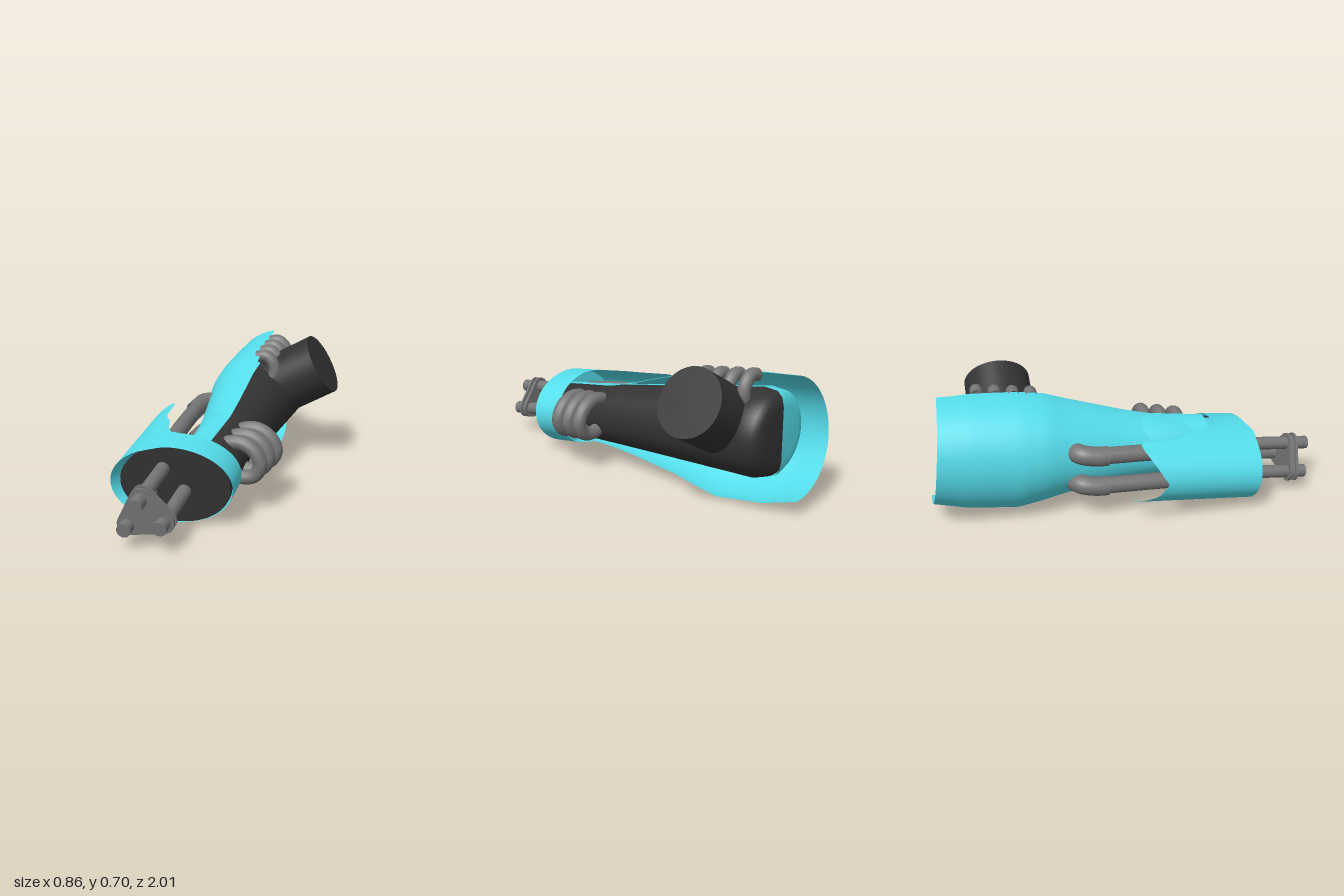
import * as THREE from 'three';

const mat = (color) => new THREE.MeshStandardMaterial({ color, side: THREE.DoubleSide });
const V = (x, y, z) => new THREE.Vector3(x, y, z);
const rad = THREE.MathUtils.degToRad;

// Linear interpolation in a list of rows keyed by their first value
function sample(rows, t) {
  let i = 0;
  while (i < rows.length - 2 && t > rows[i + 1][0]) i++;
  const a = rows[i], b = rows[i + 1];
  const k = THREE.MathUtils.clamp((t - a[0]) / (b[0] - a[0]), 0, 1);
  return a.map((v, j) => v + (b[j] - v) * k);
}

// Grid surface from a point function of (u, v), each 0..1
function surface(fn, nu, nv) {
  const pos = [], idx = [];
  for (let j = 0; j <= nv; j++)
    for (let i = 0; i <= nu; i++) pos.push(...fn(i / nu, j / nv));
  for (let j = 0; j < nv; j++)
    for (let i = 0; i < nu; i++) {
      const a = j * (nu + 1) + i, b = a + nu + 1;
      idx.push(a, a + 1, b, b, a + 1, b + 1);
    }
  const g = new THREE.BufferGeometry();
  g.setAttribute('position', new THREE.Float32BufferAttribute(pos, 3));
  g.setIndex(idx);
  g.computeVertexNormals();
  return g;
}

const tube = (pts, r) =>
  new THREE.TubeGeometry(new THREE.CatmullRomCurve3(pts.map((p) => V(...p))), 40, r, 14);

// Tapered forearm body along z, its axis drifting down towards the wrist
function forearm(grow, phiStart, phiLength) {
  const profile = [[0, -0.87], [0.13, -0.87], [0.175, -0.86], [0.205, -0.835], [0.22, -0.77], [0.187, -0.3], [0.162, 0.07], [0.135, 0.5], [0, 0.5]];
  const g = new THREE.LatheGeometry(
    profile.map(([r, z]) => new THREE.Vector2(r ? r + grow : 0, z < -0.8 ? z - grow : z)), 48, phiStart, phiLength);
  g.rotateX(Math.PI / 2);
  const p = g.attributes.position;
  for (let i = 0; i < p.count; i++) {
    const k = (p.getZ(i) + 0.8) / 1.25;
    p.setXY(i, p.getX(i) - 0.01 + 0.03 * k, p.getY(i) + 0.36 - 0.125 * k);
  }
  return g;
}

// Rounded triangle around three corners given counter-clockwise
function roundedTriangle(c, r) {
  const s = new THREE.Shape();
  const out = (a, b) => Math.atan2(b[1] - a[1], b[0] - a[0]) - Math.PI / 2;
  c.forEach((p, i) => s.absarc(p[0], p[1], r, out(c[(i + 2) % 3], p), out(p, c[(i + 1) % 3]), false));
  return s;
}

export function createModel() {
  const model = new THREE.Group();
  const cyan = mat(0x55deec), dark = mat(0x333333), grey = mat(0x757575);
  const add = (name, geo, m, parent = model) => {
    const mesh = new THREE.Mesh(geo, m);
    mesh.name = name;
    parent.add(mesh);
    return mesh;
  };

  // Forearm core and the lining on its right half
  add('forearmCore', forearm(0, 0, Math.PI * 2), dark);
  add('forearmLining', forearm(0.006, Math.PI, Math.PI), cyan);

  // Flared half shell: z, top y, bottom y, outermost x, upper and lower edge angle
  const stations = [
    [-0.965, 0.667, 0.08, -0.28, 101, 271], [-0.88, 0.66, 0.058, -0.283, 99, 275], [-0.8, 0.655, 0.035, -0.285, 96, 277],
    [-0.55, 0.63, 0.002, -0.28, 92, 281], [-0.42, 0.605, 0.025, -0.265, 90, 281], [-0.3, 0.56, 0.05, -0.235, 88, 281],
    [0, 0.465, 0.08, -0.175, 86, 280], [0.15, 0.425, 0.09, -0.155, 85, 280], [0.46, 0.385, 0.09, -0.12, 84, 280]];
  add('forearmShell', surface((u, v) => {
    const [z, top, bottom, left, from, to] = sample(stations, -0.965 + 1.425 * v);
    const a = rad(from + (to - from) * u), s = Math.sin(a);
    return [0.03 + (0.03 - left) * Math.cos(a), (top + bottom) / 2 + (top - bottom) / 2 * s, z + 0.035 * s * (1 - v)];
  }, 40, 44), cyan);

  // Elbow joint drum pointing up to the left side
  const dir = V(0.875, 0.485, 0).normalize();
  const drum = add('elbowJoint', new THREE.CylinderGeometry(0.172, 0.172, 0.36, 40), dark);
  drum.quaternion.setFromUnitVectors(V(0, 1, 0), dir);
  drum.position.set(0.348, 0.555, -0.6).addScaledVector(dir, -0.18);

  // Short hoses between shell and core at the elbow
  for (let i = 0; i < 4; i++) {
    const z = -0.73 + 0.09 * i, d = -0.012 * i;
    add('elbowHose', tube([[0.002, 0.638 + d, z], [0.05, 0.645 + d, z], [0.09, 0.615 + d, z], [0.106, 0.555 + d, z], [0.075, 0.49 + d, z]], 0.032), grey);
  }

  // Looped hoses beside the wrist
  const loop = [[0.05, 0.32], [0.11, 0.365], [0.19, 0.375], [0.26, 0.335], [0.288, 0.27], [0.26, 0.215], [0.19, 0.2], [0.1, 0.23]];
  for (let i = 0; i < 3; i++)
    add('wristHose', tube(loop.map(([x, y]) => [x - 0.014 * i, y - 0.011 * i, 0.16 + 0.09 * i]), 0.036), grey);

  // Pipes with thick elbows running from the shell into the cuff
  for (const y of [0.37, 0.2]) {
    add('pipeElbow', tube([[-0.1, y, -0.29], [-0.18, y, -0.285], [-0.235, y, -0.25], [-0.25, y - 0.01, -0.18], [-0.248, y - 0.015, -0.12]], 0.05), grey);
    add('sidePipe', tube([[-0.25, y - 0.01, -0.17], [-0.23, y - 0.03, 0.1], [-0.2, y - 0.06, 0.4], [-0.18, y - 0.08, 0.53]], 0.043), grey);
  }

  // Wrist assembly, tilted slightly down and to the left
  const wrist = new THREE.Group();
  wrist.name = 'wrist';
  wrist.position.set(-0.1, 0.2, 0.6);
  wrist.rotation.set(0.12, 0.06, 0);
  model.add(wrist);

  // Cuff with a two-horned guard: angle, back edge z, front edge z
  const edge = [
    [0, -0.17, 0], [88, -0.15, 0.015], [98, -0.165, 0.02], [103, -0.2, 0.03], [110, -0.32, 0.035], [116, -0.37, 0.035], [120, -0.42, 0.03],
    [122, -0.58, 0.03], [126, -0.6, 0.03], [134, -0.59, 0.03], [150, -0.55, 0.03], [180, -0.47, 0.03], [205, -0.51, 0.03],
    [222, -0.58, 0.03], [232, -0.605, 0.03], [236, -0.6, 0.03], [238, -0.44, 0.03], [242, -0.37, 0.03], [252, -0.25, 0.025],
    [265, -0.18, 0.01], [280, -0.16, 0], [360, -0.17, 0]];
  add('cuff', surface((u, v) => {
    const [, back, front] = sample(edge, 360 * u), a = rad(360 * u);
    return [0.3 * Math.cos(a), 0.2 * Math.sin(a), back + (front - back) * v];
  }, 180, 6), cyan, wrist);

  // Sloping inner rim from the wrist plate out to the cuff's front edge
  add('cuffRim', surface((u, v) => {
    const front = sample(edge, 360 * u)[2], a = rad(360 * u);
    return [0.015 * (1 - v) + (0.272 + 0.028 * v) * Math.cos(a), (0.192 + 0.008 * v) * Math.sin(a), -0.04 + (front + 0.04) * v];
  }, 90, 2), cyan, wrist);

  // Oval plate closing the cuff, dark in front and backed in the cuff colour
  const oval = (depth) => new THREE.CylinderGeometry(1, 1, depth, 56).rotateX(Math.PI / 2).scale(0.275, 0.195, 1);
  add('wristPlate', oval(0.05), dark, wrist).position.set(0.015, 0, -0.022);
  add('wristPlateBack', oval(0.02), cyan, wrist).position.set(0.015, 0, -0.058);

  // Three rods held by a flanged triangular bracket
  const rods = [[-0.038, 0.082, 0.392], [-0.108, -0.053, 0.375], [0.062, -0.028, 0.375]];
  for (const [x, y, end] of rods)
    add('rod', new THREE.CylinderGeometry(0.034, 0.034, end + 0.05, 24).rotateX(Math.PI / 2), grey, wrist)
      .position.set(x, y, (end - 0.05) / 2);
  for (const [r, z, depth] of [[0.038, 0.275, 0.05], [0.052, 0.272, 0.014], [0.052, 0.306, 0.014]])
    add('rodBracket', new THREE.ExtrudeGeometry(roundedTriangle(rods, r),
      { depth, bevelEnabled: false, curveSegments: 12 }), grey, wrist).position.z = z;

  return model;
}
